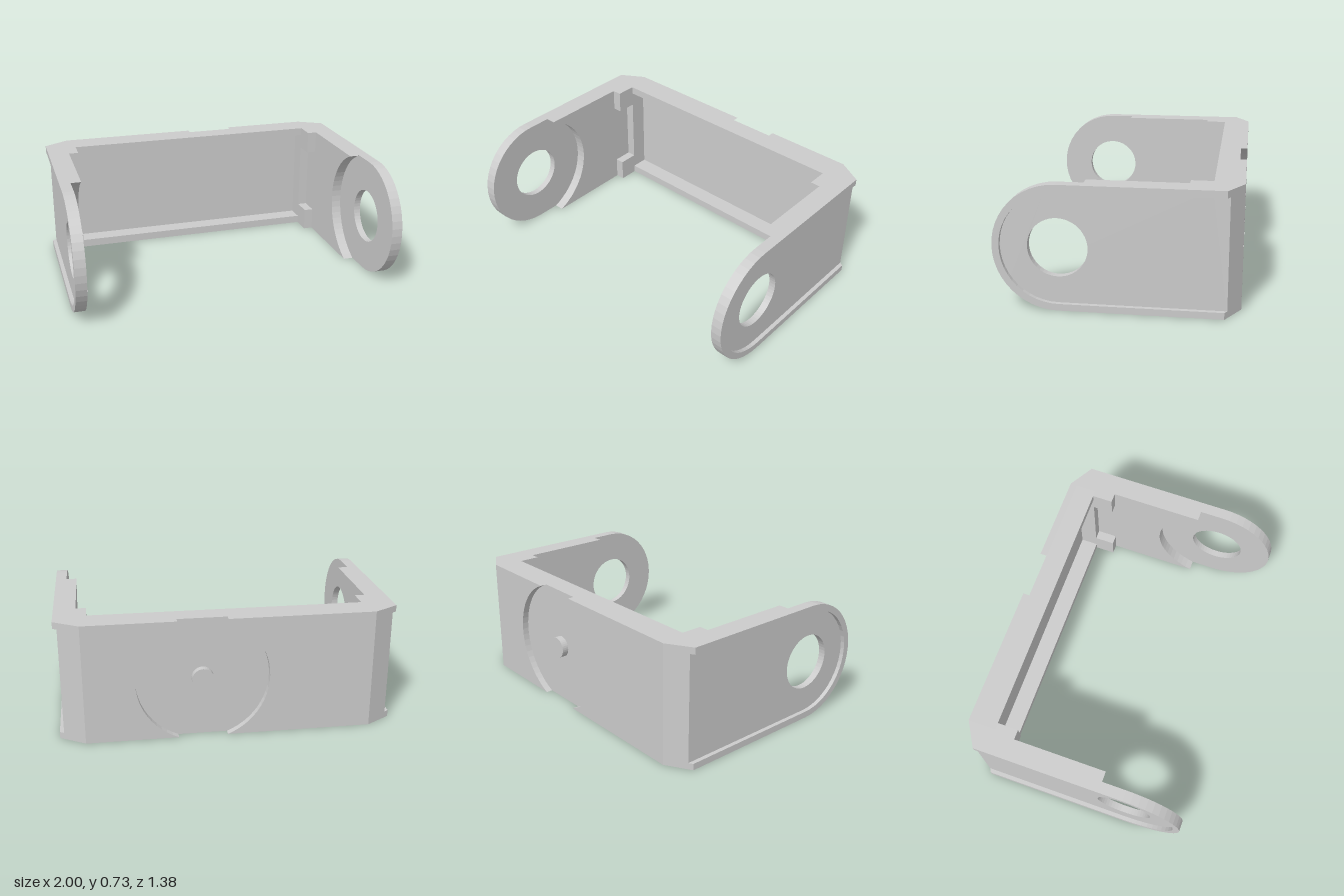
import * as THREE from 'three';

const H = 0.73, MID = H / 2, PIVOT_Z = 0.325, WALL_Z = -0.52;
const mat = new THREE.MeshStandardMaterial({ color: 0xcccccc, flatShading: true });

export function createModel() {
  const model = new THREE.Group();

  const add = (parent, name, geo) => {
    const m = new THREE.Mesh(geo, mat);
    m.name = name;
    parent.add(m);
  };
  const extrude = (shape, depth) =>
    new THREE.ExtrudeGeometry(shape, { depth, bevelEnabled: false, curveSegments: 12 });
  const poly = (pts) => new THREE.Shape(pts.map(([x, y]) => new THREE.Vector2(x, y)));

  // (z, y) outline extruded between x0 and x1 on one side
  const alongX = (shape, side, x0, x1) =>
    extrude(shape, x1 - x0).rotateY(-Math.PI / 2).translate(side > 0 ? x1 : -x0, 0, 0);
  // (x, z) footprint extruded between y0 and y1
  const alongY = (pts, side, y0, y1) =>
    extrude(poly(pts.map(([x, z]) => [side * x, z])), y1 - y0).rotateX(Math.PI / 2).translate(0, y1, 0);
  // (x, y) outline extruded between z0 and z1
  const alongZ = (shape, z0, z1) => extrude(shape, z1 - z0).translate(0, 0, z0);
  const rect = (w) => poly([[-w, 0], [w, 0], [w, H], [-w, H]]);

  // Full-height plate from u = far, ending in a concave arc about u = c
  const notchedPlate = (far, c, r) => {
    const a = Math.asin(MID / r);
    const s = new THREE.Shape().moveTo(far, H).lineTo(far, 0);
    if (far < c) s.absarc(c, MID, r, Math.PI + a, Math.PI - a, true);
    else s.absarc(c, MID, r, -a, a, false);
    return s.lineTo(far, H);
  };
  // Round-ended arm outline, open at its last point
  const armOutline = () => new THREE.Shape().moveTo(WALL_Z, H).lineTo(WALL_Z, 0);

  // Back wall: outer skin with round recess, web, and inner frame
  const back = new THREE.Group();
  back.name = 'backWall';
  model.add(back);
  add(back, 'outerSkinRight', alongZ(notchedPlate(-0.85, 0.16, 0.393), -0.69, -0.65));
  add(back, 'outerSkinLeft', alongZ(notchedPlate(0.85, 0.16, 0.393), -0.69, -0.65));
  add(back, 'web', alongZ(rect(0.85), -0.65, -0.63));
  const frame = rect(0.85);
  frame.holes.push(poly([[-0.81, 0.05], [-0.81, 0.68], [0.81, 0.68], [0.81, 0.05]]));
  add(back, 'innerFrame', alongZ(frame, -0.63, WALL_Z));
  add(back, 'centrePin', new THREE.CylinderGeometry(0.065, 0.065, 0.04, 32)
    .rotateX(Math.PI / 2).translate(0.16, MID, -0.67));

  for (const side of [1, -1]) {
    const arm = new THREE.Group();
    arm.name = side > 0 ? 'leftArm' : 'rightArm';
    model.add(arm);

    // Chamfered corner, with rim ends above and below the outer recess
    add(arm, 'corner', alongY(
      [[0.85, -0.69], [0.975, -0.615], [0.975, WALL_Z], [0.85, WALL_Z]], side, 0, H));
    // Blocks in the inner corner, separated by a slot
    for (const [rim0, rim1, b0, b1] of [[0, 0.04, 0, 0.145], [0.69, H, 0.587, H]]) {
      add(arm, 'rimEnd', alongY(
        [[0.975, -0.615], [1, -0.6], [1, WALL_Z], [0.975, WALL_Z]], side, rim0, rim1));
      add(arm, 'cornerBlock', alongY(
        [[0.81, WALL_Z], [0.87, WALL_Z], [0.87, -0.392], [0.81, -0.392]], side, b0, b1));
    }

    // Thick inner layer, cut back around the pivot
    add(arm, 'innerPad', alongX(notchedPlate(WALL_Z, PIVOT_Z, 0.393), side, 0.87, 0.933));

    // Round-ended plate with pivot hole
    const plate = armOutline()
      .absarc(PIVOT_Z, MID, MID, -Math.PI / 2, Math.PI / 2, false)
      .lineTo(WALL_Z, H);
    plate.holes.push(new THREE.Path()
      .absarc(PIVOT_Z, MID, 0.17, 0, Math.PI, false)
      .absarc(PIVOT_Z, MID, 0.17, Math.PI, Math.PI * 2, false));
    add(arm, 'pivotPlate', alongX(plate, side, 0.933, 0.975));

    // Raised rim around the outer face
    const rim = new THREE.Shape()
      .moveTo(WALL_Z, 0.04).lineTo(WALL_Z, 0)
      .absarc(PIVOT_Z, MID, MID, -Math.PI / 2, Math.PI / 2, false)
      .lineTo(WALL_Z, H).lineTo(WALL_Z, 0.69)
      .absarc(PIVOT_Z, MID, 0.325, Math.PI / 2, -Math.PI / 2, true)
      .lineTo(WALL_Z, 0.04);
    add(arm, 'outerRim', alongX(rim, side, 0.975, 1));
  }
  return model;
}
